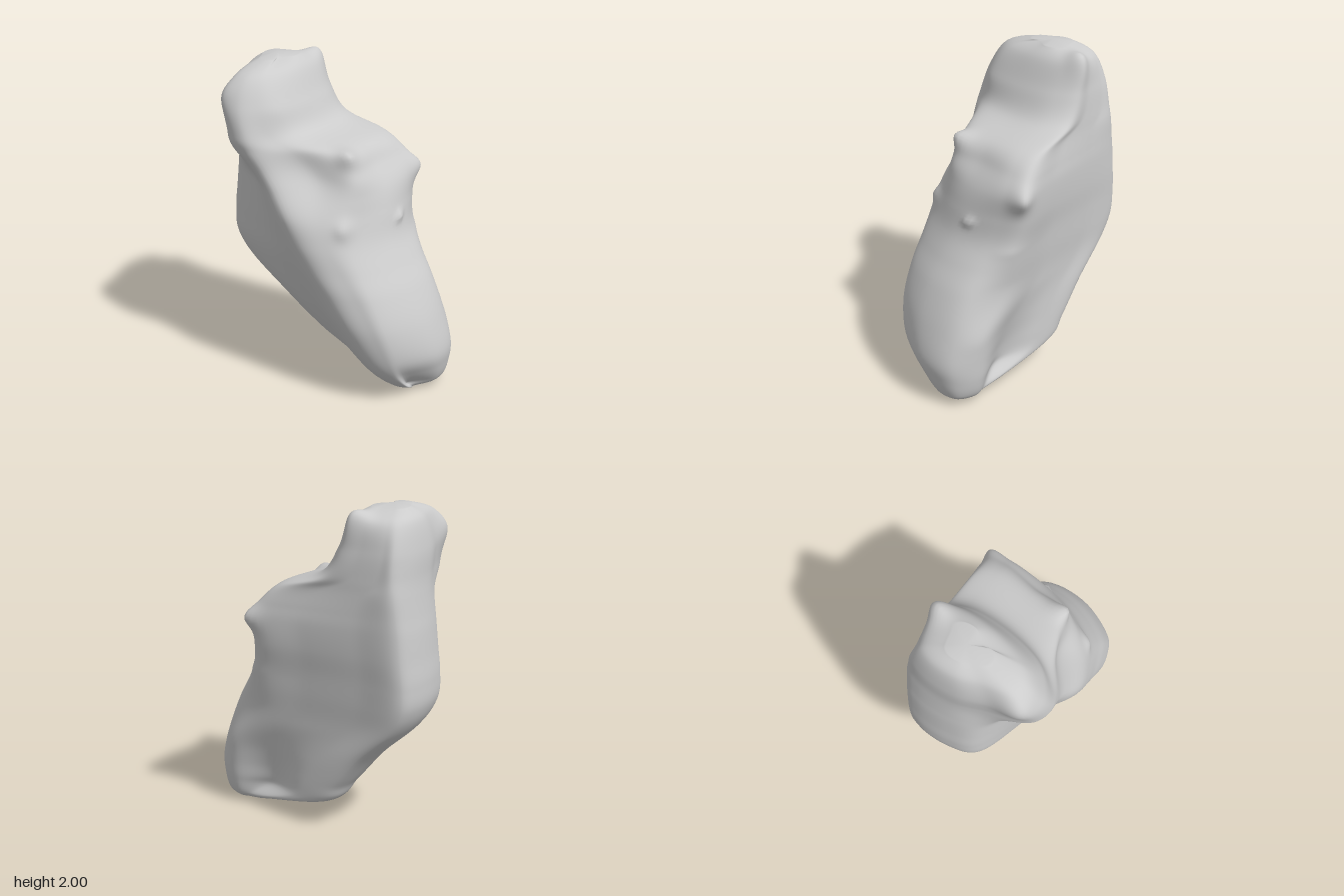
import * as THREE from 'three';

// One row per level, rising:
// y, left x, right x, left front z, ridge x, ridge z, right front z, left back z, right back z
const LEVELS = [
  [0.01, 0.45, 0.61, -0.05, 0.53, 0.03, 0.0, -0.17, -0.2],
  [0.06, 0.31, 0.68, -0.05, 0.5, 0.13, 0.07, -0.26, -0.27],
  [0.17, -0.14, 0.715, -0.1, 0.46, 0.26, 0.18, -0.33, -0.3],
  [0.3, -0.26, 0.725, -0.03, 0.41, 0.34, 0.27, -0.345, -0.31],
  [0.5, -0.42, 0.67, 0.05, 0.32, 0.4, 0.33, -0.355, -0.32],
  [0.7, -0.63, 0.58, 0.08, 0.2, 0.42, 0.34, -0.36, -0.34],
  [0.85, -0.715, 0.49, 0.1, 0.09, 0.43, 0.33, -0.37, -0.36],
  [1.0, -0.725, 0.41, 0.1, 0.0, 0.445, 0.31, -0.375, -0.38],
  [1.15, -0.71, 0.38, 0.1, -0.08, 0.45, 0.26, -0.38, -0.41],
  [1.3, -0.695, 0.365, 0.1, -0.18, 0.425, 0.2, -0.38, -0.425],
  [1.4, -0.68, 0.3, 0.11, -0.25, 0.42, 0.18, -0.38, -0.41],
  [1.51, -0.665, 0.19, 0.12, -0.32, 0.435, 0.16, -0.38, -0.385],
  [1.6, -0.655, -0.07, 0.14, -0.36, 0.44, 0.2, -0.37, -0.38],
  [1.76, -0.645, -0.18, 0.17, -0.42, 0.405, 0.26, -0.34, -0.37],
  [1.92, -0.605, -0.26, 0.1, -0.43, 0.29, 0.18, -0.27, -0.35],
  [1.985, -0.53, -0.33, 0.0, -0.42, 0.09, 0.0, -0.15, -0.18],
];

// Pointed corners: position, push, radius
const SPURS = [
  [[0.18, 1.5, 0.15], [0.03, 0.03, 0.04], 0.09],
  [[0.33, 1.3, -0.42], [0.02, 0, -0.035], 0.1],
  [[0.22, 1.09, 0.29], [0.01, 0.01, 0.03], 0.08],
  [[0.385, 1.09, -0.08], [0.035, 0.005, 0], 0.04],
  [[-0.34, 1.93, -0.32], [0.01, 0.04, -0.01], 0.1],
  [[-0.54, 1.8, 0.3], [-0.025, 0.01, 0.03], 0.14],
].map(([p, d, r]) => [new THREE.Vector3(...p), new THREE.Vector3(...d), r]);

const channels = LEVELS[0].map((_, c) =>
  new THREE.SplineCurve(LEVELS.map((row, i) => new THREE.Vector2(i, row[c]))));

const { lerp: mix, smoothstep } = THREE.MathUtils;

// Closed cross-section at a level, from the left back corner round the front
function crossSection(t) {
  const [y, xL, xR, zL, xA, zA, zR, bL, bR] = channels.map((c) => c.getPoint(t).y);
  const w = xR - xL;
  const r = Math.min(0.1, w * 0.2);
  // the side shelf has crisper corners and a scooped front
  const shelf = Math.exp(-(((y - 1.37) / 0.16) ** 2));
  const frontInset = Math.min(mix(0.13, 0.06, smoothstep(y, 1.25, 1.5)), w * 0.3);
  // back edge of the slab, which the foot passes in front of
  const slabEdge = mix(0.56, 0.34, smoothstep(y, 0.4, 0.75));
  const xB = Math.min(xR - mix(r, 0.04, shelf) * 0.9, slabEdge);
  // the upper ridge is a broad block, the lower one slopes to the flank
  const shoulder = mix(0.47, 0.86, smoothstep(y, 1.28, 1.58));
  // hollow in the back between the slab and the foot
  const hollow = 0.08 * (1 - smoothstep(y, 0.15, 0.65)) * smoothstep(y, 0.03, 0.17);
  const pts = [
    [xL + r * 0.6, bL],
    [xL + r * 0.05, mix(bL, zL, 0.22)],
    [xL, mix(bL, zL, 0.65)],
    [xL + r * 0.6, zL],
    [mix(xL, xA, 0.54), mix(zL, zA, shoulder)],
    [xA, zA],
    [mix(xA, xR, 0.42), mix(zA, zR, 0.36 + 0.3 * shelf)],
    [xR - frontInset, zR],
    [xR - 0.05 * shelf, mix(bR, zR, 0.6)],
    [xR - r * 0.1, mix(bR, zR, 0.2)],
    [xB, bR],
    [mix(xL, xB, 0.67), mix(bL, bR, 0.67) + hollow],
    [mix(xL, xB, 0.33), mix(bL, bR, 0.33)],
  ].map(([x, z]) => new THREE.Vector3(x, y, z));
  return new THREE.CatmullRomCurve3(pts, true, 'centripetal');
}

function bodyGeometry(rows = 120, cols = 110) {
  const points = [];
  for (let i = 0; i <= rows; i++) {
    const ring = crossSection(i / rows);
    for (let j = 0; j < cols; j++) points.push(ring.getPoint(j / cols));
  }
  // pull out the pointed corners
  for (const p of points) {
    const start = p.clone();
    for (const [at, push, radius] of SPURS) {
      p.addScaledVector(push, Math.exp(-2 * (start.distanceTo(at) / radius) ** 2));
    }
  }
  const index = [];
  for (let i = 0; i < rows; i++) {
    for (let j = 0; j < cols; j++) {
      const a = i * cols + j, b = i * cols + (j + 1) % cols;
      index.push(a, b, b + cols, a, b + cols, a + cols);
    }
  }
  // rounded caps
  const cap = (first, y, up) => {
    const centre = new THREE.Vector3();
    for (let j = 0; j < cols; j++) centre.addScaledVector(points[first + j], 1 / cols);
    centre.y = y;
    const c = points.push(centre) - 1;
    for (let j = 0; j < cols; j++) {
      const a = first + j, b = first + (j + 1) % cols;
      index.push(c, ...(up ? [a, b] : [b, a]));
    }
  };
  cap(0, 0, false);
  cap(rows * cols, 2, true);
  const geometry = new THREE.BufferGeometry().setFromPoints(points);
  geometry.setIndex(index);
  geometry.computeVertexNormals();
  return geometry;
}

export function createModel() {
  const group = new THREE.Group();
  group.name = 'rock';
  const body = new THREE.Mesh(bodyGeometry(), new THREE.MeshStandardMaterial({ color: 0xcccccc }));
  body.name = 'rockBody';
  group.add(body);
  return group;
}
